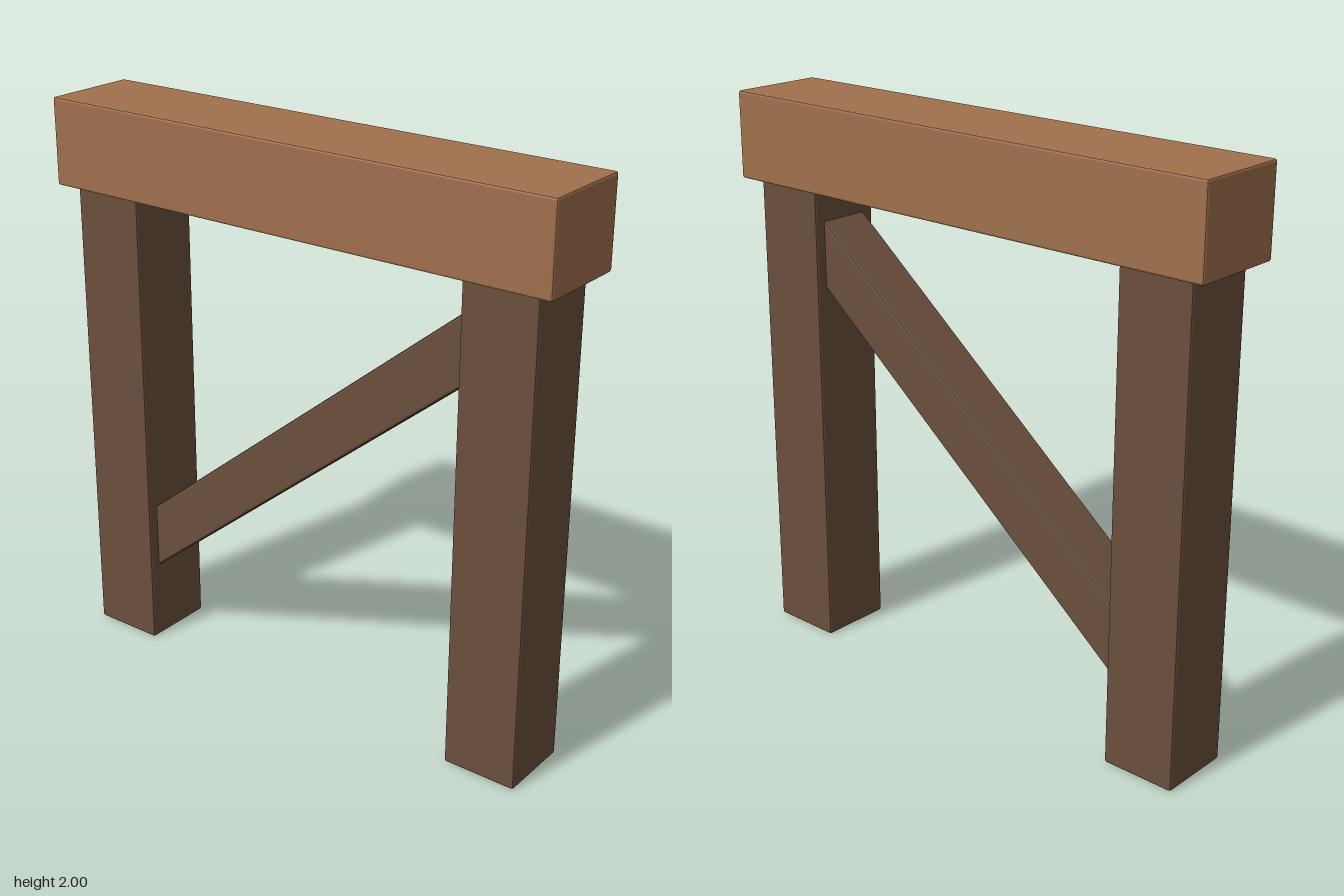
import * as THREE from 'three';
import { RoundedBoxGeometry } from 'three/addons/geometries/RoundedBoxGeometry.js';

const BEVEL = 0.008;

// A squared timber with narrow chamfered edges
function timber(name, color, size, position) {
  const material = new THREE.MeshStandardMaterial({ color, flatShading: true });
  const mesh = new THREE.Mesh(new RoundedBoxGeometry(...size, 1, BEVEL), material);
  mesh.name = name;
  mesh.position.set(...position);
  return mesh;
}

export function createModel() {
  const model = new THREE.Group();
  model.name = 'timberFrame';
  const light = 0xa0704d, dark = 0x6b4f3c;

  // Lintel across the top
  model.add(timber('topBeam', light, [1.95, 0.305, 0.346], [0, 1.8475, 0]));

  // Two upright posts
  for (const [name, side] of [['leftPost', 1], ['rightPost', -1]]) {
    model.add(timber(name, dark, [0.266, 1.695, 0.268], [side * 0.782, 0.8475, 0]));
  }

  // Diagonal brace, its ends let into the posts
  const brace = timber('diagonalBrace', dark, [2.0, 0.187, 0.187], [0, 0.935, 0]);
  brace.rotation.z = Math.atan2(1.05, 1.3);
  model.add(brace);

  return model;
}
